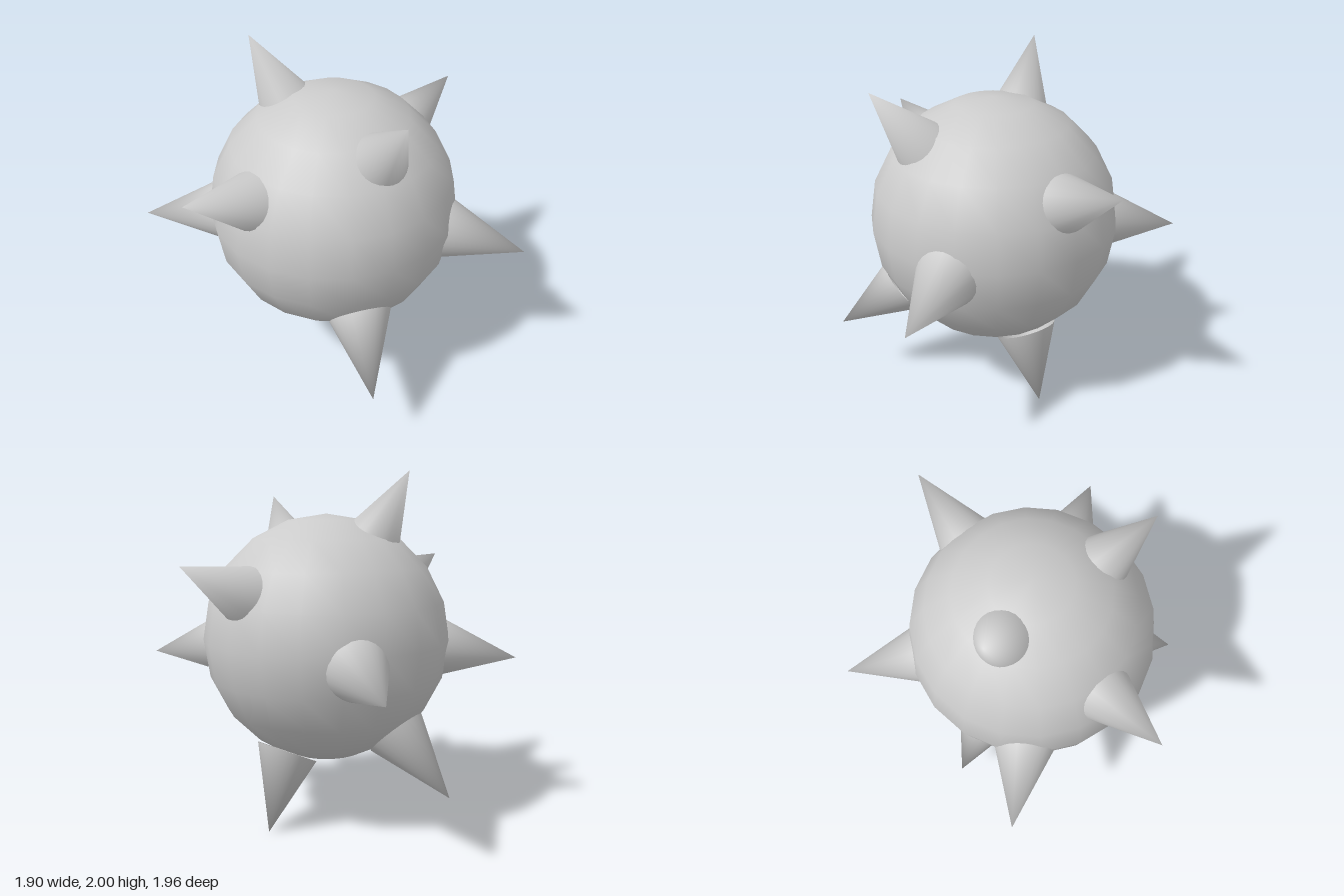
import * as THREE from 'three';
import { mergeVertices } from 'three/addons/utils/BufferGeometryUtils.js';

const CENTER = new THREE.Vector3(0, 1.07, -0.005);
const SPIKE_RADIUS = 0.175;

// Each spike: name, base centre, tip
const SPIKES = [
  ['upperRightSpike', [-0.25, 1.6, 0.08], [-0.44, 2.0, 0.19]],
  ['upperLeftSpike', [0.39, 1.52, 0.06], [0.66, 1.875, 0.16]],
  ['frontSpike', [0, 1.34, 0.55], [0, 1.51, 0.98]],
  ['backSpike', [0, 1.345, -0.555], [0, 1.525, -0.98]],
  ['frontRightSpike', [-0.436, 1.015, 0.46], [-0.78, 0.955, 0.76]],
  ['backRightSpike', [-0.553, 1.006, -0.32], [-0.95, 0.93, -0.54]],
  ['backLeftSpike', [0.556, 1.006, -0.335], [0.95, 0.93, -0.56]],
  ['lowerRightSpike', [-0.455, 0.574, 0.1], [-0.76, 0.245, 0.2]],
  ['lowerLeftSpike', [0.472, 0.654, 0.244], [0.79, 0.4, 0.46]],
  ['lowerBackSpike', [0, 0.447, -0.31], [0, 0.005, -0.45]],
];

// Smooth open cone: base ring lies across the ball's radius, apex sits at the tip
function spikeGeometry(base, tip) {
  const cone = new THREE.ConeGeometry(SPIKE_RADIUS, 1, 24, 1, true).translate(0, 0.5, 0);
  cone.deleteAttribute('normal');
  cone.deleteAttribute('uv');
  const geometry = mergeVertices(cone);

  const radial = base.clone().sub(CENTER).normalize();
  const turn = new THREE.Quaternion().setFromUnitVectors(new THREE.Vector3(0, 1, 0), radial);
  const matrix = new THREE.Matrix4().makeBasis(
    new THREE.Vector3(1, 0, 0).applyQuaternion(turn),
    tip.clone().sub(base),
    new THREE.Vector3(0, 0, 1).applyQuaternion(turn),
  ).setPosition(base);
  geometry.applyMatrix4(matrix);
  geometry.computeVertexNormals();
  return geometry;
}

export function createModel() {
  const group = new THREE.Group();
  group.name = 'spikedBall';
  const material = new THREE.MeshStandardMaterial({ color: 0xcccccc });
  const spikeMaterial = new THREE.MeshStandardMaterial({ color: 0xcccccc, side: THREE.DoubleSide });

  // Round body
  const ball = new THREE.Mesh(new THREE.SphereGeometry(0.702, 20, 10), material);
  ball.name = 'ball';
  ball.position.copy(CENTER);
  group.add(ball);

  // Spikes spread over the body
  for (const [name, base, tip] of SPIKES) {
    const geometry = spikeGeometry(new THREE.Vector3(...base), new THREE.Vector3(...tip));
    const spike = new THREE.Mesh(geometry, spikeMaterial);
    spike.name = name;
    group.add(spike);
  }
  return group;
}
